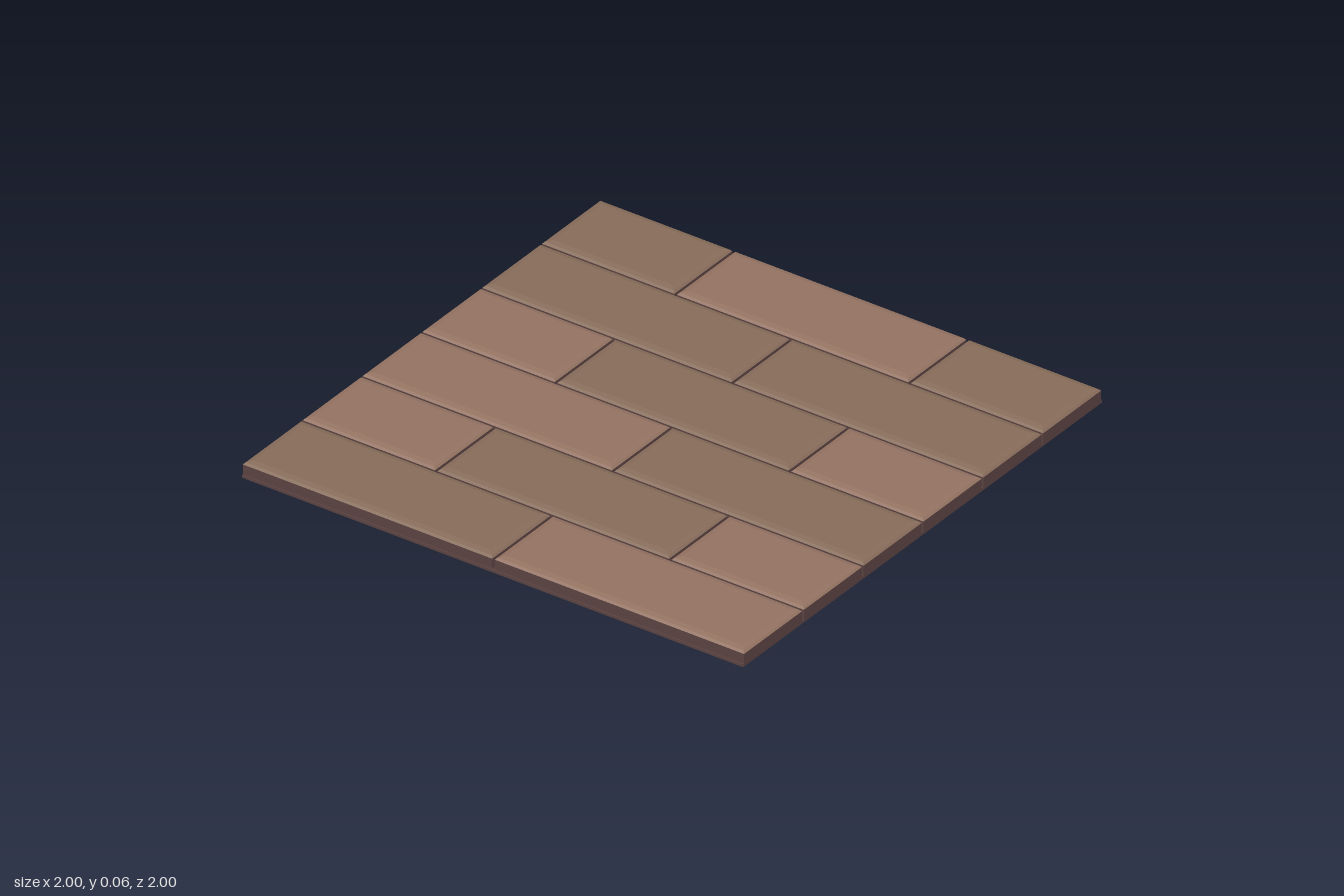
import * as THREE from 'three';

const HEIGHT = 0.06, BASE = 0.01, GAP = 0.005;

const material = (color) => new THREE.MeshStandardMaterial({ color, flatShading: true });

// Joins rectangular rings [inset, y] of a plank; optionally closes the top.
function loft(w, d, rings, cap) {
  const corners = rings.map(([inset, y]) => {
    const x = w / 2 - inset, z = d / 2 - inset;
    return [[-x, y, -z], [-x, y, z], [x, y, z], [x, y, -z]];
  });
  const pos = [];
  const quad = (a, b, c, e) => pos.push(...a, ...b, ...c, ...a, ...c, ...e);
  for (let r = 0; r + 1 < corners.length; r++) {
    const lo = corners[r], hi = corners[r + 1];
    for (let i = 0; i < 4; i++) {
      const j = (i + 1) % 4;
      quad(lo[i], lo[j], hi[j], hi[i]);
    }
  }
  if (cap) quad(...corners[corners.length - 1]);
  const geo = new THREE.BufferGeometry();
  geo.setAttribute('position', new THREE.Float32BufferAttribute(pos, 3));
  geo.computeVertexNormals();
  return geo;
}

export function createModel() {
  const model = new THREE.Group();
  model.name = 'plankFloor';
  const sideMat = material(0x5a4342);
  const woods = { r: material(0x937261), b: material(0x866b59) };

  // Thin slab under the planks
  const base = new THREE.Mesh(new THREE.BoxGeometry(2, BASE, 2), sideMat);
  base.name = 'base';
  base.position.y = BASE / 2;
  model.add(base);

  // Plank tones per column, from back to front
  const columns = ['br', 'rbr', 'rb', 'rbr', 'bb', 'brb'];
  const width = 2 / columns.length;
  columns.forEach((tones, c) => {
    const cuts = tones.length === 2 ? [-1, 0, 1] : [-1, -0.467, 0.467, 1];
    [...tones].forEach((tone, i) => {
      const w = width - 2 * GAP;
      // Only inner joints are narrowed, so plank ends stay flush with the slab
      const z0 = cuts[i] + (i ? GAP : 0);
      const z1 = cuts[i + 1] - (i < tones.length - 1 ? GAP : 0);
      const plank = new THREE.Group();
      plank.name = `plank_${c + 1}_${i + 1}`;
      plank.position.set(-1 + width * (c + 0.5), 0, (z0 + z1) / 2);

      const sides = new THREE.Mesh(loft(w, z1 - z0, [[0, BASE], [0, 0.048]], false), sideMat);
      sides.name = 'plankSides';
      // Bevelled upper face
      const rings = [[0, 0.048], [0.007, 0.055], [0.026, HEIGHT]];
      const top = new THREE.Mesh(loft(w, z1 - z0, rings, true), woods[tone]);
      top.name = 'plankTop';
      plank.add(sides, top);
      model.add(plank);
    });
  });
  return model;
}
